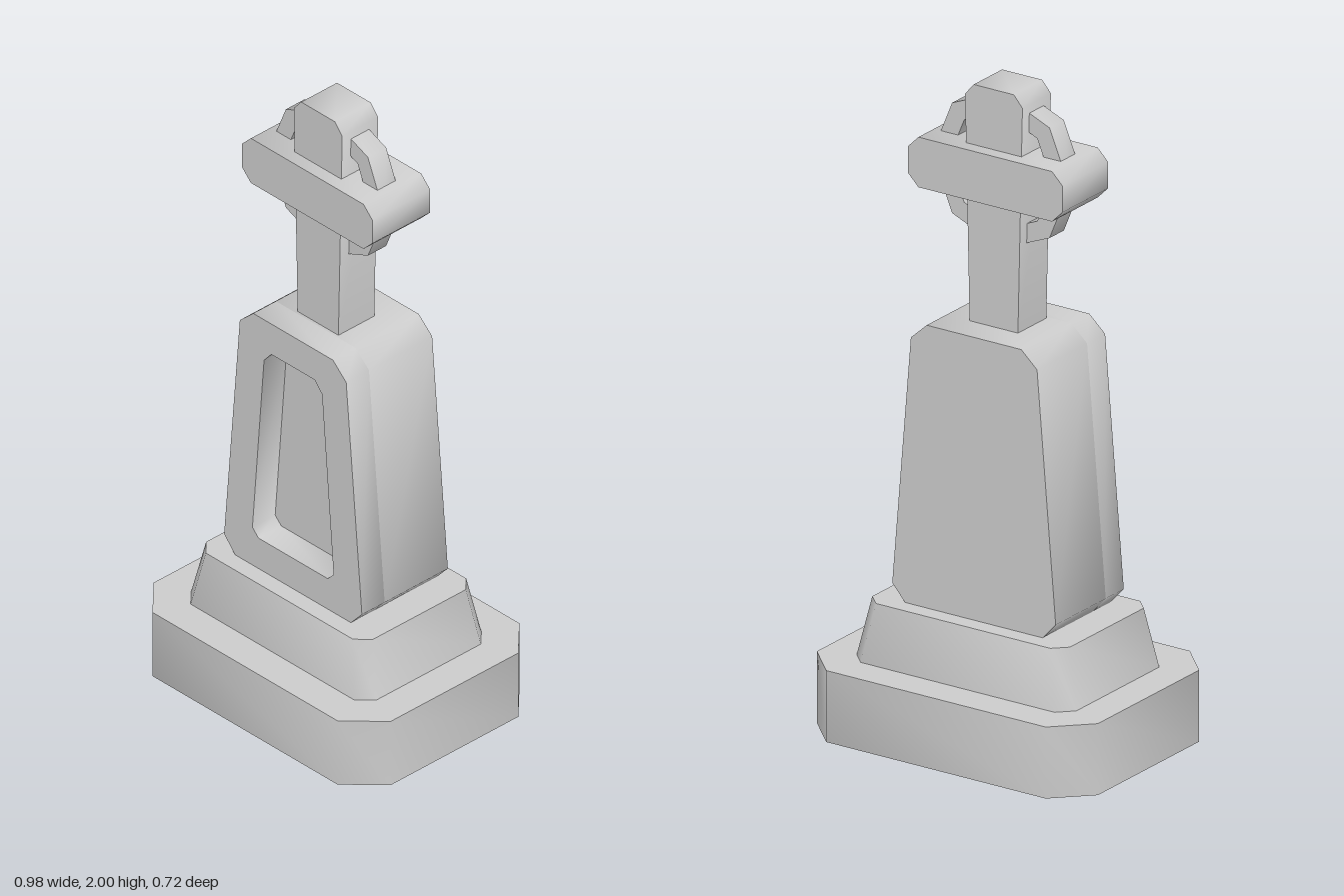
import * as THREE from 'three';
import { toCreasedNormals } from 'three/addons/utils/BufferGeometryUtils.js';

const material = new THREE.MeshStandardMaterial({ color: 0xcccccc });
const CREASE = 0.95;

// Full outline from its right half, listed bottom to top
const mirrored = (half) => [...half, ...half.map(([x, y]) => [-x, y]).reverse()];
const toPoints = (list) => list.map(([x, y]) => new THREE.Vector2(x, y));

// Rectangle with cut corners, centred on the origin
const chamferedRect = (w, h, c) =>
  mirrored([[w - c, -h], [w, -h + c], [w, h - c], [w - c, h]]);

const octagon = (r) => Array.from({ length: 8 }, (_, i) => {
  const a = (i * Math.PI) / 4;
  return [r * Math.cos(a), r * Math.sin(a)];
});

// Extrusion running from z0 to z1
function prism(outline, z0, z1, hole) {
  const shape = new THREE.Shape(toPoints(outline));
  if (hole) shape.holes.push(new THREE.Path(toPoints(hole)));
  return new THREE.ExtrudeGeometry(shape, { depth: z1 - z0, bevelEnabled: false })
    .translate(0, 0, z0);
}

function part(name, geometry) {
  const mesh = new THREE.Mesh(toCreasedNormals(geometry, CREASE), material);
  mesh.name = name;
  return mesh;
}

export function createModel() {
  const group = new THREE.Group();
  group.name = 'stoneCross';

  // Ground slab
  group.add(part('base', prism(chamferedRect(0.49, 0.36, 0.107), 0, 0.22).rotateX(-Math.PI / 2)));

  // Plinth, narrowing towards the top
  const plinth = prism(chamferedRect(0.383, 0.252, 0.045), 0.22, 0.4).rotateX(-Math.PI / 2);
  const pos = plinth.attributes.position;
  for (let i = 0; i < pos.count; i++) {
    if (pos.getY(i) > 0.3) {
      pos.setX(i, pos.getX(i) * 0.9);
      pos.setZ(i, pos.getZ(i) * 0.89);
    }
  }
  group.add(part('plinth', plinth));

  // Tapered column: solid back slab and a front frame around the recess
  const column = mirrored([[0.24, 0.4], [0.285, 0.45], [0.22, 1.22], [0.165, 1.27]]);
  const recess = mirrored([[0.143, 0.505], [0.168, 0.53], [0.12, 1.13], [0.09, 1.165]]);
  group.add(part('columnBack', prism(column, -0.17, 0.08)));
  group.add(part('columnFrontFrame', prism(column, 0.08, 0.17, recess)));

  // Cross shaft, slightly wider at the top
  const shaft = mirrored([[0.084, 1.26], [0.1, 1.965], [0.07, 2]]);
  group.add(part('crossShaft', prism(shaft, -0.071, 0.071)));

  // Cross arm
  group.add(part('crossArm',
    prism(chamferedRect(0.27, 0.077, 0.037), -0.114, 0.114).translate(0, 1.738, 0)));

  // Eight-sided ring behind the arms
  group.add(part('crossRing',
    prism(octagon(0.24), -0.036, 0.036, octagon(0.18)).translate(0, 1.74, 0)));

  return group;
}
